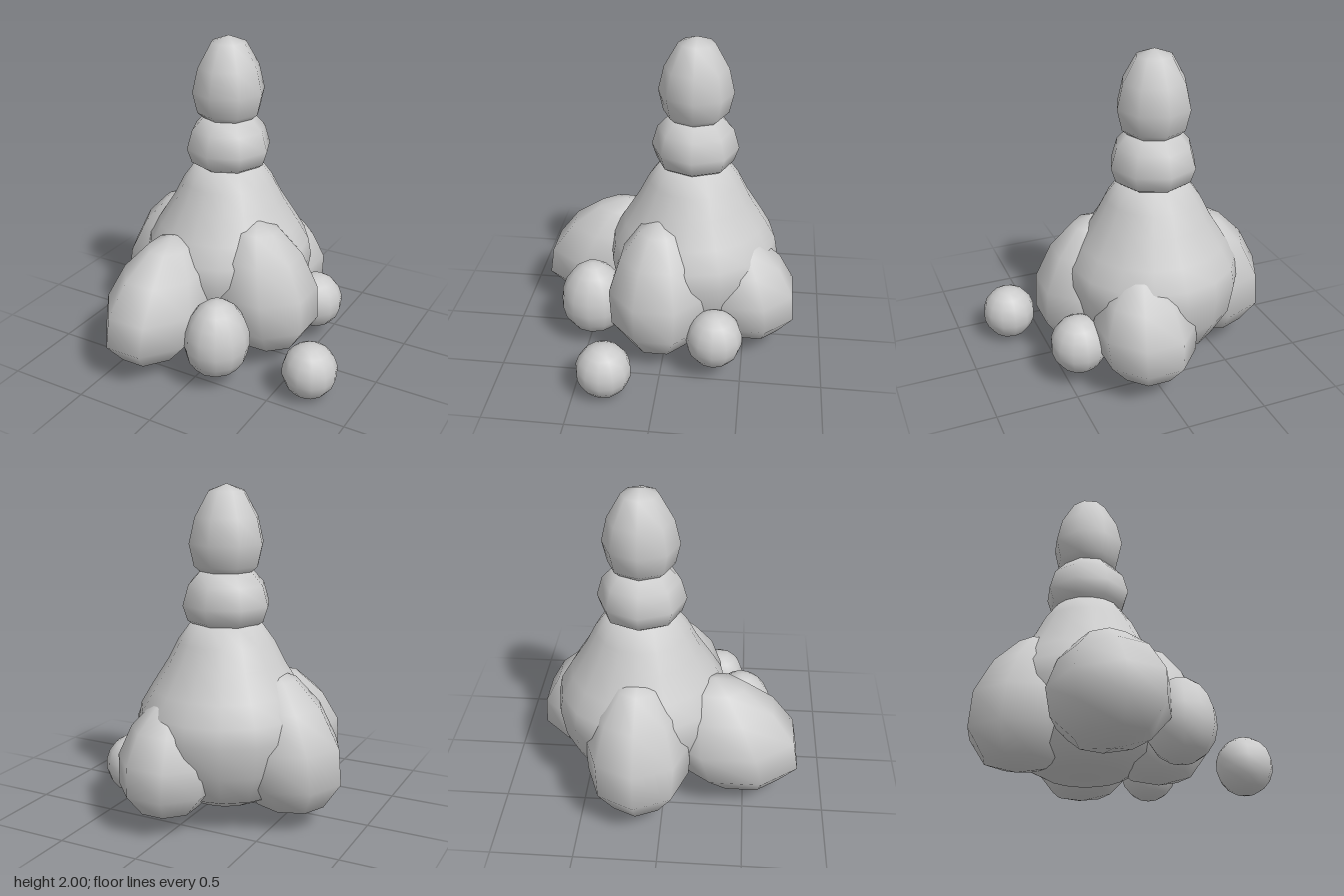
import * as THREE from 'three';
import { mergeVertices } from 'three/addons/utils/BufferGeometryUtils.js';

const material = new THREE.MeshStandardMaterial({ color: 0xcccccc });

// Weld seams so the low-poly forms shade smoothly all the way round
function smooth(geometry) {
  geometry.deleteAttribute('uv');
  geometry.deleteAttribute('normal');
  const welded = mergeVertices(geometry, 1e-4);
  welded.computeVertexNormals();
  return welded;
}

function addMesh(group, name, geometry, x, y, z) {
  const mesh = new THREE.Mesh(smooth(geometry), material);
  mesh.name = name;
  mesh.position.set(x, y, z);
  group.add(mesh);
}

// Egg: a sphere that narrows upward and leans; "turn" puts a flat side forward
function egg([rx, ry, rz], { taper = 0, lean = [0, 0], turn = false, sides = 8, rows = 6 } = {}) {
  const geometry = new THREE.SphereGeometry(1, sides, rows);
  if (turn) geometry.rotateY(Math.PI / sides);
  const grow = turn ? 1 / Math.cos(Math.PI / sides) : 1;
  const p = geometry.attributes.position;
  for (let i = 0; i < p.count; i++) {
    const t = p.getY(i);
    const f = grow * (1 - taper * t);
    p.setXYZ(i, p.getX(i) * rx * f + lean[0] * t, t * ry, p.getZ(i) * rz * f + lean[1] * t);
  }
  return geometry;
}

function lathe(profile, sides) {
  return new THREE.LatheGeometry(profile.map(([r, y]) => new THREE.Vector2(r, y)), sides);
}

export function createModel() {
  const model = new THREE.Group();
  model.name = 'blobMound';
  const cx = -0.13, cz = -0.15;

  // Central stack: bell-shaped body, squashed ring and pointed cap
  addMesh(model, 'body', lathe([
    [0, 0.1], [0.24, 0.11], [0.41, 0.2], [0.51, 0.38], [0.54, 0.57], [0.52, 0.68],
    [0.45, 0.8], [0.35, 0.96], [0.29, 1.08], [0.21, 1.19], [0, 1.22],
  ], 16), cx, 0, cz);
  addMesh(model, 'middleRing', lathe([
    [0, 1.15], [0.18, 1.17], [0.24, 1.21], [0.27, 1.3], [0.235, 1.42], [0.16, 1.5], [0, 1.53],
  ], 8), cx, 0, cz);
  addMesh(model, 'cap', lathe([
    [0, 1.45], [0.15, 1.485], [0.2, 1.53], [0.23, 1.66], [0.195, 1.81], [0.11, 1.96], [0, 2.0],
  ], 8), cx, 0, cz);

  // Large lobes leaning against the body
  addMesh(model, 'rightLobe', egg([0.36, 0.435, 0.325], { taper: 0.2, lean: [0.07, 0] }), -0.5, 0.505, -0.15);
  addMesh(model, 'leftLobe', egg([0.32, 0.43, 0.3], { taper: 0.2, lean: [-0.05, 0], turn: true }), 0.22, 0.5, 0.03);
  addMesh(model, 'frontLobe', egg([0.3, 0.375, 0.4], { taper: 0.2, lean: [0.02, -0.1], turn: true }), -0.29, 0.45, 0.4);
  addMesh(model, 'backLobe', egg([0.285, 0.35, 0.3], { taper: 0.2, lean: [0, 0.05], turn: true }), 0.06, 0.43, -0.5);

  // Small balls around the foot
  const round = { sides: 12, rows: 9 };
  addMesh(model, 'frontBall', egg([0.2, 0.25, 0.21], { ...round, taper: 0.1 }), 0.14, 0.317, 0.47);
  addMesh(model, 'backBall', egg([0.175, 0.183, 0.175], round), 0.425, 0.262, -0.33);
  addMesh(model, 'looseBall', egg([0.168, 0.174, 0.17], round), 0.69, 0.174, 0.315);

  return model;
}
